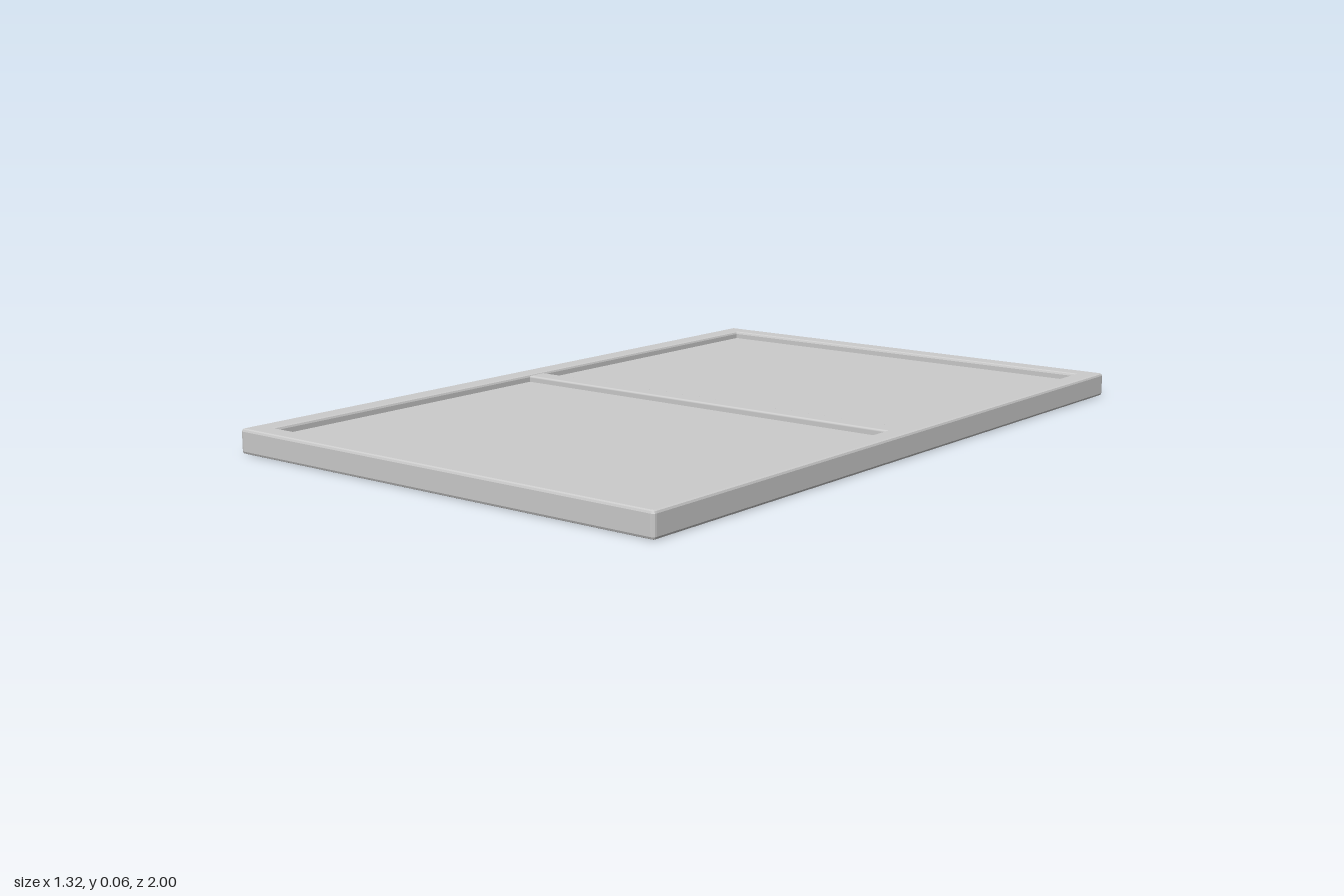
import * as THREE from 'three';
import { RoundedBoxGeometry } from 'three/addons/geometries/RoundedBoxGeometry.js';

const W = 1.32, D = 2, H = 0.064, RAIL = 0.06, BEVEL = 0.007;

// Rectangle outline with small rounded corners
function roundedRect(path, w, d, r) {
  const x = w / 2, y = d / 2;
  path.moveTo(-x + r, -y);
  path.lineTo(x - r, -y);
  path.quadraticCurveTo(x, -y, x, -y + r);
  path.lineTo(x, y - r);
  path.quadraticCurveTo(x, y, x - r, y);
  path.lineTo(-x + r, y);
  path.quadraticCurveTo(-x, y, -x, y - r);
  path.lineTo(-x, -y + r);
  path.quadraticCurveTo(-x, -y, -x + r, -y);
  return path;
}

export function createModel() {
  const group = new THREE.Group();
  const material = new THREE.MeshStandardMaterial({ color: 0xcccccc });
  const add = (name, geometry, y, z = 0) => {
    const mesh = new THREE.Mesh(geometry, material);
    mesh.name = name;
    mesh.position.set(0, y, z);
    group.add(mesh);
  };

  // Outer frame with softened edges
  const shape = roundedRect(new THREE.Shape(), W, D, 0.01);
  const hole = new THREE.Path();
  const ix = W / 2 - RAIL, iz = D / 2 - RAIL;
  hole.setFromPoints([[-ix, -iz], [-ix, iz], [ix, iz], [ix, -iz]].map(([x, y]) => new THREE.Vector2(x, y)));
  hole.closePath();
  shape.holes.push(hole);
  const frame = new THREE.ExtrudeGeometry(shape, {
    depth: H - 2 * BEVEL, bevelEnabled: true, bevelThickness: BEVEL,
    bevelSize: BEVEL, bevelOffset: -BEVEL, bevelSegments: 2, curveSegments: 3,
  });
  frame.translate(0, 0, BEVEL);
  frame.rotateX(-Math.PI / 2);
  add('frame', frame, 0);

  // Panel recessed on both faces
  add('panel', new THREE.BoxGeometry(2 * ix + 0.02, 0.024, 2 * iz + 0.02), H / 2);

  // Middle rail dividing the panel, slightly thinner than the frame
  add('crossRail', new RoundedBoxGeometry(2 * ix + 0.01, H - 0.006, 0.06, 2, 0.006), H / 2, -0.005);

  return group;
}
